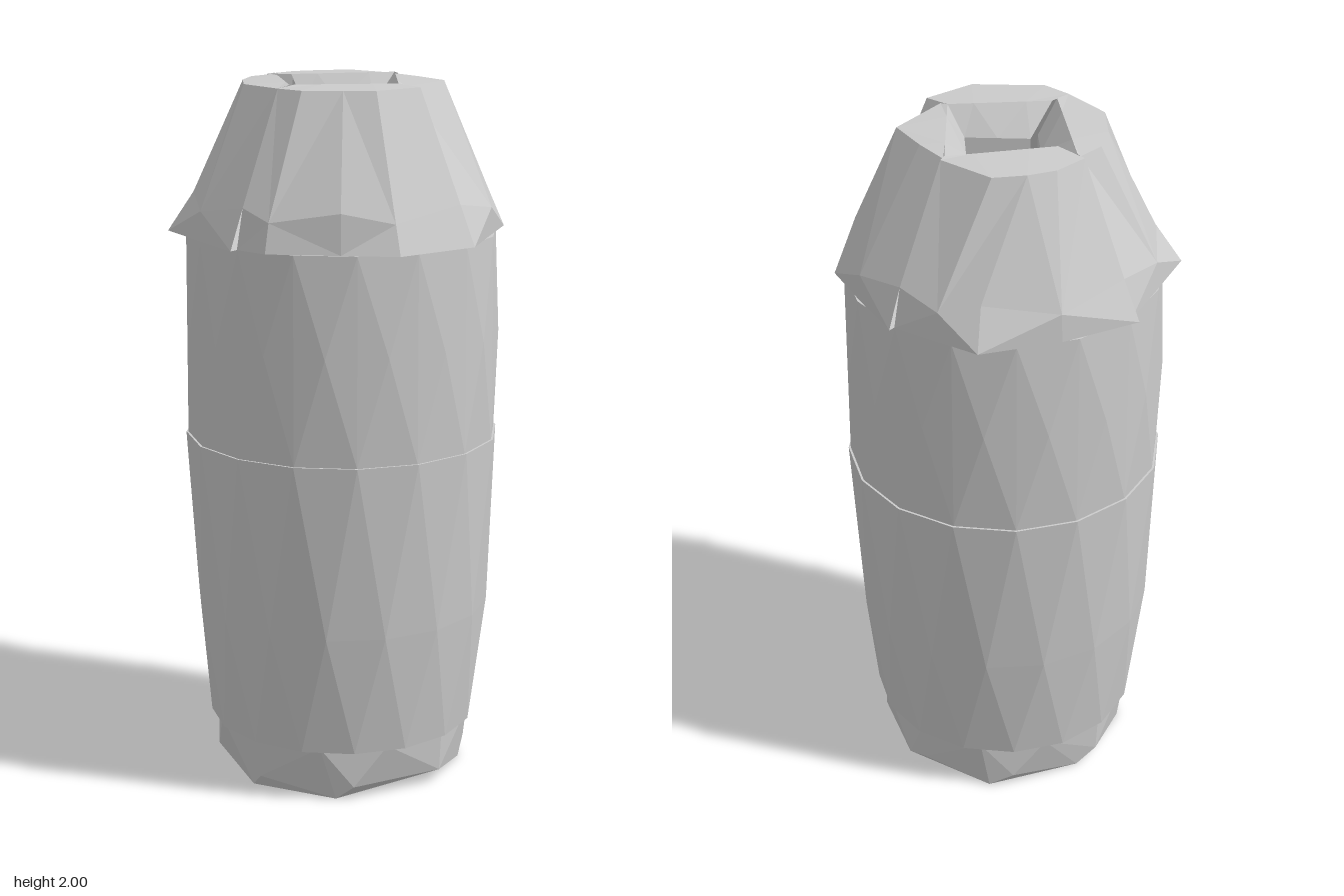
import * as THREE from 'three';
import { ConvexGeometry } from 'three/addons/geometries/ConvexGeometry.js';

const solid = new THREE.MeshStandardMaterial({ color: 0xcccccc, flatShading: true });
const shell = new THREE.MeshStandardMaterial({ color: 0xcccccc, flatShading: true, side: THREE.DoubleSide });

// Points of a regular ring; turn is in fractions of one step
function ring(y, r, n, turn = 0) {
  return Array.from({ length: n }, (_, i) => {
    const a = ((i + turn) / n) * Math.PI * 2;
    return new THREE.Vector3(Math.sin(a) * r, y, Math.cos(a) * r);
  });
}

// Surface through open rows of equally many points, listed from bottom to top
function loft(rows) {
  const n = rows[0].length;
  const index = [];
  for (let j = 0; j < rows.length - 1; j++) {
    for (let i = 0; i < n - 1; i++) {
      const a = j * n + i, b = a + 1, c = a + n, d = c + 1;
      if ((i + j) % 2) index.push(a, b, d, a, d, c);
      else index.push(a, b, c, b, d, c);
    }
  }
  const geometry = new THREE.BufferGeometry();
  geometry.setAttribute('position', new THREE.Float32BufferAttribute(rows.flat(2), 3));
  geometry.setIndex(index);
  geometry.computeVertexNormals();
  return geometry;
}

// Five points on a straight line at height y, between [x, z] ends
const line = (y, a, b) => [0, 0.25, 0.5, 0.75, 1].map(
  (t) => [a[0] + (b[0] - a[0]) * t, y, a[1] + (b[1] - a[1]) * t]);
const level = (y, points, s = 1) => points.map(([x, z]) => [x * s, y, z * s]);

// Cap quarters: lower edge, upper edge, rim of the opening and its throat, as [x, z]
const quarters = [
  { // front left
    low: [[0, 0.465], [0.17, 0.39], [0.335, 0.32], [0.4, 0.16], [0.46, 0]],
    high: [[0, 0.225], [0.09, 0.22], [0.185, 0.215], [0.22, 0.1], [0.24, 0]],
    rim: [[0, 0.2], [0.235, 0]], throat: [[0, 0.14], [0.145, 0]],
  },
  { // back left
    low: [[0.44, 0], [0.42, -0.13], [0.4, -0.255], [0.21, -0.38], [0, -0.47]],
    high: [[0.25, 0], [0.24, -0.165], [0.17, -0.225], [0.1, -0.265], [0, -0.275]],
    rim: [[0.235, 0], [0, -0.185]], throat: [[0.145, 0], [0, -0.14]],
  },
  { // back right
    low: [[0, -0.445], [-0.17, -0.4], [-0.335, -0.355], [-0.4, -0.18], [-0.465, 0]],
    high: [[0, -0.26], [-0.08, -0.265], [-0.16, -0.225], [-0.245, -0.145], [-0.27, 0]],
    rim: [[0, -0.25], [-0.22, 0]], throat: [[0, -0.14], [-0.14, 0]],
  },
  { // front right
    low: [[-0.44, 0], [-0.44, 0.1], [-0.33, 0.27], [-0.24, 0.4], [0, 0.465]],
    high: [[-0.27, 0], [-0.27, 0.085], [-0.2, 0.17], [-0.145, 0.24], [0, 0.275]],
    rim: [[-0.2, 0], [0, 0.2]], throat: [[-0.11, 0], [0, 0.14]],
  },
];

// Shoulder row: rounded arc just above the lower edge
function shoulder(low) {
  return low.map(([x, z], i) => {
    const r = i % 2 ? 0.43 : 0.415;
    const k = r / Math.hypot(x, z);
    return [x * k, i % 2 ? 1.66 : 1.69, z * k];
  });
}

export function createModel() {
  const model = new THREE.Group();
  const add = (name, geometry, material, parent = model) => {
    const mesh = new THREE.Mesh(geometry, material);
    mesh.name = name;
    parent.add(mesh);
  };

  // Faceted foot with an uneven seven-sided underside
  const sole = [[-0.28, 0.21], [0.19, 0.29], [0.345, 0.08], [0.3, -0.2], [0.06, -0.34], [-0.2, -0.29], [-0.35, -0.04]]
    .map(([x, z]) => new THREE.Vector3(x, 0, z));
  add('foot', new ConvexGeometry([...sole, ...ring(0.04, 0.365, 8), ...ring(0.16, 0.372, 12)]), solid);

  // Tapering lower body
  add('lowerBody', new ConvexGeometry([
    ...ring(0.15, 0.385, 16), ...ring(0.5, 0.423, 16, 0.5), ...ring(1.0, 0.447, 16),
  ]), solid);

  // Nearly straight upper body
  add('upperBody', new ConvexGeometry([
    ...ring(1.0, 0.441, 16), ...ring(1.3, 0.445, 16, 0.5), ...ring(1.58, 0.438, 16),
  ]), solid);

  // Cap in four quarters, each folding over the rim into the opening
  const cap = new THREE.Group();
  cap.name = 'cap';
  model.add(cap);
  for (const q of quarters) {
    add('capQuarter', loft([
      level(1.58, q.low, 0.88),
      level(1.58, q.low),
      shoulder(q.low),
      level(1.995, q.high),
      line(2.0, ...q.rim),
      line(1.92, ...q.throat),
      line(1.8, ...q.throat),
    ]), shell, cap);
  }

  // Floor of the opening
  const floor = new THREE.CircleGeometry(0.147, 4);
  floor.rotateX(-Math.PI / 2);
  floor.translate(0, 1.81, 0);
  add('openingFloor', floor, shell, cap);

  return model;
}
